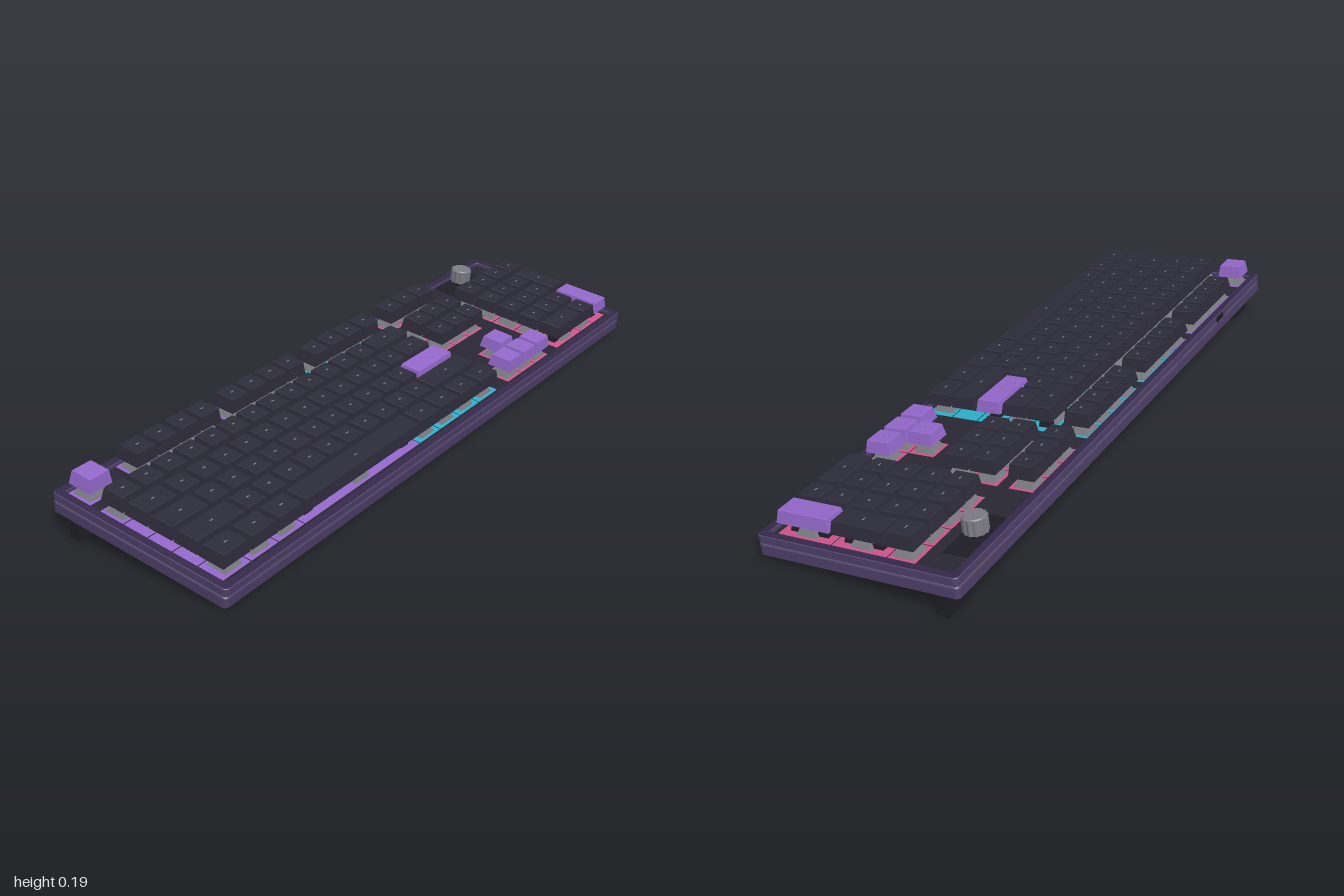
import * as THREE from 'three';

const mat = (name, color) => {
  const m = new THREE.MeshStandardMaterial({ color });
  m.name = name;
  return m;
};

export function createModel() {
  const M = {
    shell: mat('case purple', 0x4e4068),
    bezel: mat('dark purple', 0x352a4a),
    key: mat('key charcoal', 0x2d2c3a),
    accent: mat('accent violet', 0x9468cc),
    deck: mat('deck charcoal', 0x292733),
    rubber: mat('rubber black', 0x1e1e26),
    grey: mat('metal grey', 0x7c7c84),
    cyan: mat('glow cyan', 0x2fb0cc),
    pink: mat('glow pink', 0xd0558c),
  };
  const model = new THREE.Group();
  model.name = 'keyboard';
  const body = new THREE.Group(); // tilted assembly, local y = 0 is the top of the rim
  body.name = 'tiltedBody';
  body.rotation.x = 0.1056;
  body.position.set(0, 0.101, 0.003);
  model.add(body);

  const add = (parent, name, geometry, material, x = 0, y = 0, z = 0) => {
    const mesh = new THREE.Mesh(geometry, material);
    mesh.name = name;
    mesh.position.set(x, y, z);
    parent.add(mesh);
    return mesh;
  };

  const roundRect = (P, w, d, r) => {
    const p = new P(), a = w / 2, b = d / 2;
    p.absarc(a - r, b - r, r, 0, Math.PI / 2);
    p.absarc(-a + r, b - r, r, Math.PI / 2, Math.PI);
    p.absarc(-a + r, -b + r, r, Math.PI, Math.PI * 1.5);
    p.absarc(a - r, -b + r, r, Math.PI * 1.5, Math.PI * 2);
    p.closePath();
    return p;
  };

  // horizontal slab standing on y = 0, optionally with a rectangular opening
  const slab = (w, d, r, h, bevel = 0, hole = null) => {
    const s = roundRect(THREE.Shape, w, d, r);
    if (hole) s.holes.push(roundRect(THREE.Path, hole[0], hole[1], 0.006));
    const g = new THREE.ExtrudeGeometry(s, {
      depth: h - 2 * bevel, bevelEnabled: bevel > 0, bevelSize: bevel, bevelThickness: bevel,
      bevelOffset: -bevel, bevelSegments: 1, curveSegments: 4,
    });
    return g.translate(0, 0, bevel).rotateX(-Math.PI / 2);
  };

  // box on y = 0 that narrows upwards, with a chamfered upper edge
  const taperedBox = (w, h, d, inset, chamfer) => {
    let g = new THREE.BoxGeometry(w, h, d, 1, 2, 1).translate(0, h / 2, 0);
    const p = g.attributes.position;
    for (let i = 0; i < p.count; i++) {
      const level = Math.round((p.getY(i) / h) * 2);
      const k = [0, inset, inset + chamfer][level];
      p.setXYZ(i, p.getX(i) - Math.sign(p.getX(i)) * k, [0, h - chamfer, h][level],
        p.getZ(i) - Math.sign(p.getZ(i)) * k);
    }
    g = g.toNonIndexed();
    g.computeVertexNormals();
    return g;
  };

  // case
  const D = 0.587, opening = [1.95, 0.537];
  add(body, 'lowerCase', slab(2, D, 0.014, 0.033, 0.003), M.shell, 0, -0.06, 0);
  add(body, 'caseSeam', slab(1.994, D - 0.006, 0.012, 0.004), M.grey, 0, -0.0275, 0);
  add(body, 'upperCase', slab(2, D, 0.014, 0.0235, 0.002, opening), M.shell, 0, -0.0245, 0);
  add(body, 'bezel', slab(1.993, D - 0.007, 0.012, 0.0015, 0, [1.956, 0.543]), M.bezel, 0, -0.001, 0);
  add(body, 'deck', new THREE.BoxGeometry(1.96, 0.014, 0.545), M.deck, 0, -0.019, 0);
  add(body, 'bottomPanel', slab(1.88, 0.48, 0.01, 0.004), M.rubber, 0, -0.063, 0);
  add(body, 'cablePort', new THREE.BoxGeometry(0.05, 0.016, 0.006), M.rubber, -0.63, -0.014, -D / 2);

  // feet
  for (const side of [-1, 1]) {
    add(model, 'frontFoot', new THREE.BoxGeometry(0.1, 0.022, 0.034), M.rubber, side * 0.935, 0.011, 0.239);
    add(model, 'rearFoot', new THREE.BoxGeometry(0.1, 0.074, 0.034), M.rubber, side * 0.935, 0.037, -0.238);
  }

  // keys
  const U = 0.0824, DECK = -0.012, CAP = 0.0195;
  const rowZ = [-0.229, -0.115, -0.0326, 0.0498, 0.1322, 0.2146];
  const rowH = [0.0405, 0.0405, 0.037, 0.036, 0.036, 0.0365];
  const keys = new THREE.Group();
  keys.name = 'keys';
  body.add(keys);

  const addKey = (x, row, w = 1, accent = false, tall = 1) => {
    const key = new THREE.Group();
    key.name = accent ? 'accentKey' : 'key';
    key.position.set(x, 0, rowZ[row] + ((tall - 1) * U) / 2);
    keys.add(key);
    const cw = w * U - 0.0055, cd = tall * U - 0.0055, h = rowH[row];
    const glow = x < -0.36 ? M.accent : x < 0.29 ? M.cyan : M.pink;
    add(key, 'keycap', taperedBox(cw, h, cd, 0.006, 0.002), accent ? M.accent : M.key, 0, CAP, 0);
    add(key, 'legendMark', new THREE.BoxGeometry(0.011, 0.001, 0.004), M.grey, 0, CAP + h, 0);
    add(key, 'underGlow', new THREE.BoxGeometry(cw + 0.002, 0.002, cd + 0.002), glow, 0, DECK, 0);
    add(key, 'switchHousing', taperedBox(0.062, 0.022, 0.062, 0.01, 0.001), M.grey, 0, DECK, 0);
    add(key, 'switchStem', new THREE.BoxGeometry(0.024, 0.016, 0.024), M.pink, 0, 0.014, 0);
    // stabilisers beneath long keys
    const span = Math.max(w, tall);
    if (span < 2) return;
    const reach = span > 4 ? 2.6 * U : 0.5 * U;
    for (const s of [-reach, reach]) {
      const [sx, sz] = tall > 1 ? [0, s] : [s, 0];
      add(key, 'stabiliser', taperedBox(0.034, 0.025, 0.034, 0.005, 0.001), M.rubber, sx, DECK, sz);
      add(key, 'stabiliserStem', new THREE.BoxGeometry(0.012, 0.012, 0.016), M.pink, sx, 0.016, sz);
    }
  };

  // each row lists widths in key units; negative numbers are gaps
  const addRow = (x0, row, widths, accents = []) => {
    let x = x0;
    widths.forEach((w, i) => {
      if (w > 0) addKey(x + (w * U) / 2, row, w, accents.includes(i));
      x += Math.abs(w) * U;
    });
  };
  const ones = (n) => Array(n).fill(1);
  const MAIN = -0.968, NAV = 0.331, PAD = 0.635;
  addRow(MAIN, 0, [1, -1, ...ones(4), -0.5, ...ones(4), -0.5, ...ones(4)], [0]);
  addRow(MAIN, 1, [...ones(13), 2]);
  addRow(MAIN, 2, [1.5, ...ones(12), 1.5]);
  addRow(MAIN, 3, [1.75, ...ones(11), 2.25], [12]);
  addRow(MAIN, 4, [2.25, ...ones(10), 2.75]);
  addRow(MAIN, 5, [1.25, 1.25, 1.25, 6.25, 1.25, 1.25, 1.25, 1.25]);

  for (const row of [0, 1, 2]) addRow(NAV, row, ones(3));
  addRow(NAV, 4, [-1, 1], [1]);
  addRow(NAV, 5, ones(3), [0, 1, 2]);

  addRow(PAD, 1, ones(4));
  for (const row of [2, 3, 4]) addRow(PAD, row, ones(3));
  addRow(PAD, 5, [2, 1]);
  addKey(PAD + 3.5 * U, 2, 1, false, 2);
  addKey(PAD + 3.5 * U, 4, 1, true, 2);

  // knurled control knob on its dark plate
  const knob = new THREE.Group();
  knob.name = 'knob';
  knob.position.set(0.802, 0, rowZ[0]);
  body.add(knob);
  add(knob, 'knobPlate', new THREE.BoxGeometry(0.19, 0.004, 0.078), M.rubber, 0, DECK, 0);
  const gear = new THREE.Shape();
  for (let i = 0; i < 48; i++) {
    const a = (i / 48) * Math.PI * 2, r = i % 4 < 2 ? 0.034 : 0.0315;
    gear[i ? 'lineTo' : 'moveTo'](Math.cos(a) * r, Math.sin(a) * r);
  }
  gear.closePath();
  const grip = new THREE.ExtrudeGeometry(gear, { depth: 0.042, bevelEnabled: false }).rotateX(-Math.PI / 2);
  add(knob, 'knobGrip', grip, M.grey, 0, 0.003, 0);
  add(knob, 'knobCap', new THREE.CylinderGeometry(0.028, 0.031, 0.003, 32), M.grey, 0, 0.0465, 0);
  add(knob, 'knobShaft', new THREE.CylinderGeometry(0.02, 0.02, 0.02, 24), M.rubber, 0, -0.004, 0);

  return model;
}
